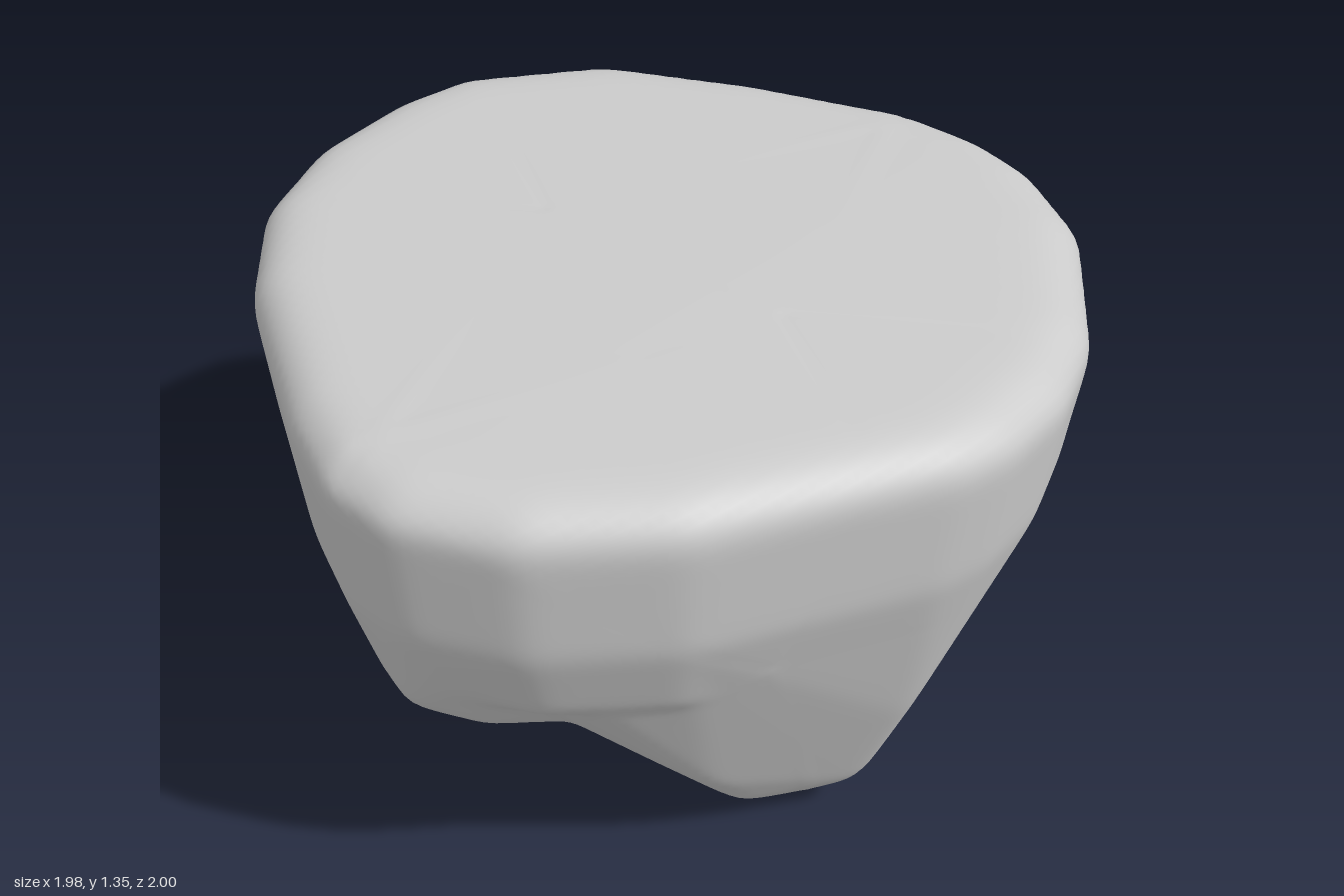
import * as THREE from 'three';
import { ConvexGeometry } from 'three/addons/geometries/ConvexGeometry.js';
import { mergeVertices } from 'three/addons/utils/BufferGeometryUtils.js';

const CENTER = new THREE.Vector3(0.05, 0.8, 0);

// Outline of the flat top as [x, z]
const RIM = [
  [0.04, -1], [0.26, -1], [0.43, -0.95], [0.65, -0.8], [0.9, -0.44], [0.98, -0.21], [0.99, 0],
  [0.96, 0.13], [0.68, 0.65], [0.45, 0.89], [0.2, 1], [0.02, 0.99], [-0.2, 0.88], [-0.62, 0.61],
  [-0.85, 0.37], [-0.97, 0.1], [-1, -0.2], [-0.97, -0.4], [-0.74, -0.7], [-0.37, -0.87],
];
const ring = (y, s, keep = () => true) =>
  RIM.filter(([x, z]) => keep(x, z)).map(([x, z]) => [x * s, y, z * s]);

// Slab under the flat top, as [height, scale of the outline]
const slab = [[1.335, 0.925], [1.27, 1.005], [0.95, 0.965], [0.72, 0.87], [0.56, 0.62]]
  .flatMap(([y, s]) => ring(y, s));
slab.push([0.25, 1.352, -0.3]);

// Overhang at the front and left
const frontOverhang = ring(0.95, 0.965, (x, z) => (x < 0.5 && z > 0) || x < -0.3);
frontOverhang.push(
  [0.1, 0.65, 0.88], [-0.1, 0.56, 0.77], [0.2, 0.56, 0.75], [-0.2, 0.45, 0.47], [0.3, 0.43, 0.46],
  [-0.75, 0.47, 0.15], [-0.62, 0.43, 0.42], [-0.66, 0.34, 0], [-0.5, 0.25, -0.2],
  [-0.36, 0.2, -0.1], [-0.4, 0.22, -0.26], [-0.15, 0.5, -0.57],
);

// Overhang at the back
const backOverhang = ring(0.95, 0.965, (x, z) => z < -0.4 && x > -0.8);
backOverhang.push(
  [0.33, 0.56, -0.85], [0.08, 0.57, -0.85], [0.22, 0.455, -0.66], [-0.08, 0.47, -0.66],
  [0.5, 0.6, -0.6], [0.3, 0.45, -0.45],
);

// Main foot, running up into the right wall
const mainFoot = ring(0.95, 0.965, (x, z) => (x > 0.1 && z > 0) || (x > 0.6 && z > -0.85));
mainFoot.push(
  [0.19, -0.005, -0.03], [0.54, 0, -0.03], [0.3, 0.01, 0.08], [0.48, 0.08, 0.19],
  [0.3, 0.24, 0.35], [0.5, 0.26, 0.34], [0.28, 0.42, 0.45], [0.67, 0.12, -0.03],
  [0.8, 0.43, 0], [0.11, 0.045, -0.03], [0.4, 0.1, -0.24], [0.58, 0.55, -0.4],
);

// Small foot at the back
const smallFoot = [
  [-0.11, 0, -0.28], [-0.24, 0.09, -0.27], [0.05, 0.13, -0.25], [-0.06, 0.09, -0.42],
  [-0.1, 0.35, -0.6], [0.1, 0.36, -0.59], [-0.4, 0.22, -0.26], [-0.5, 0.42, -0.38], [0.2, 0.46, -0.63],
];

// Face planes of the hull of a mass, widened to hold the shared centre
function hullPlanes(points) {
  const pts = points.map((p) => new THREE.Vector3(...p).sub(CENTER));
  for (const s of [-0.1, 0.1]) {
    pts.push(new THREE.Vector3(s, 0, 0), new THREE.Vector3(0, s, 0), new THREE.Vector3(0, 0, s));
  }
  const pos = new ConvexGeometry(pts).attributes.position;
  const planes = [];
  for (let i = 0; i < pos.count; i += 3) {
    const [a, b, c] = [0, 1, 2].map((k) => new THREE.Vector3().fromBufferAttribute(pos, i + k));
    const plane = new THREE.Plane().setFromCoplanarPoints(a, b, c);
    if (plane.normal.lengthSq() > 0.5) planes.push(plane);
  }
  return planes;
}

// Distance from the centre to the hull along a direction
function reach(planes, dir) {
  let r = Infinity;
  for (const { normal, constant } of planes) {
    const k = normal.dot(dir);
    if (k > 1e-6) r = Math.min(r, -constant / k);
  }
  return r;
}

// Softens creases by averaging each distance with those of its neighbours
function soften(radii, index) {
  const sum = new Float32Array(radii.length);
  const n = new Float32Array(radii.length);
  for (let i = 0; i < index.count; i += 3) {
    for (let k = 0; k < 3; k++) {
      const a = index.getX(i + k);
      sum[a] += radii[index.getX(i + ((k + 1) % 3))];
      n[a]++;
    }
  }
  return radii.map((r, i) => (r + sum[i] / n[i]) / 2);
}

export function createModel() {
  const hulls = [slab, frontOverhang, backOverhang, mainFoot, smallFoot].map(hullPlanes);

  // One skin stretched over all masses
  let skin = new THREE.IcosahedronGeometry(1, 44);
  skin.deleteAttribute('normal');
  skin.deleteAttribute('uv');
  skin = mergeVertices(skin, 1e-4);
  const pos = skin.attributes.position;
  const dirs = Array.from({ length: pos.count }, (_, i) =>
    new THREE.Vector3().fromBufferAttribute(pos, i).normalize());
  let radii = dirs.map((d) => Math.max(...hulls.map((h) => reach(h, d))));
  for (let pass = 0; pass < 4; pass++) radii = soften(radii, skin.index);
  dirs.forEach((d, i) => {
    d.multiplyScalar(radii[i]).add(CENTER);
    pos.setXYZ(i, d.x, d.y, d.z);
  });
  skin.computeVertexNormals();

  const rock = new THREE.Mesh(skin, new THREE.MeshStandardMaterial({ color: 0xcccccc }));
  rock.name = 'rock';
  const group = new THREE.Group();
  group.name = 'flatToppedRock';
  group.add(rock);
  return group;
}
